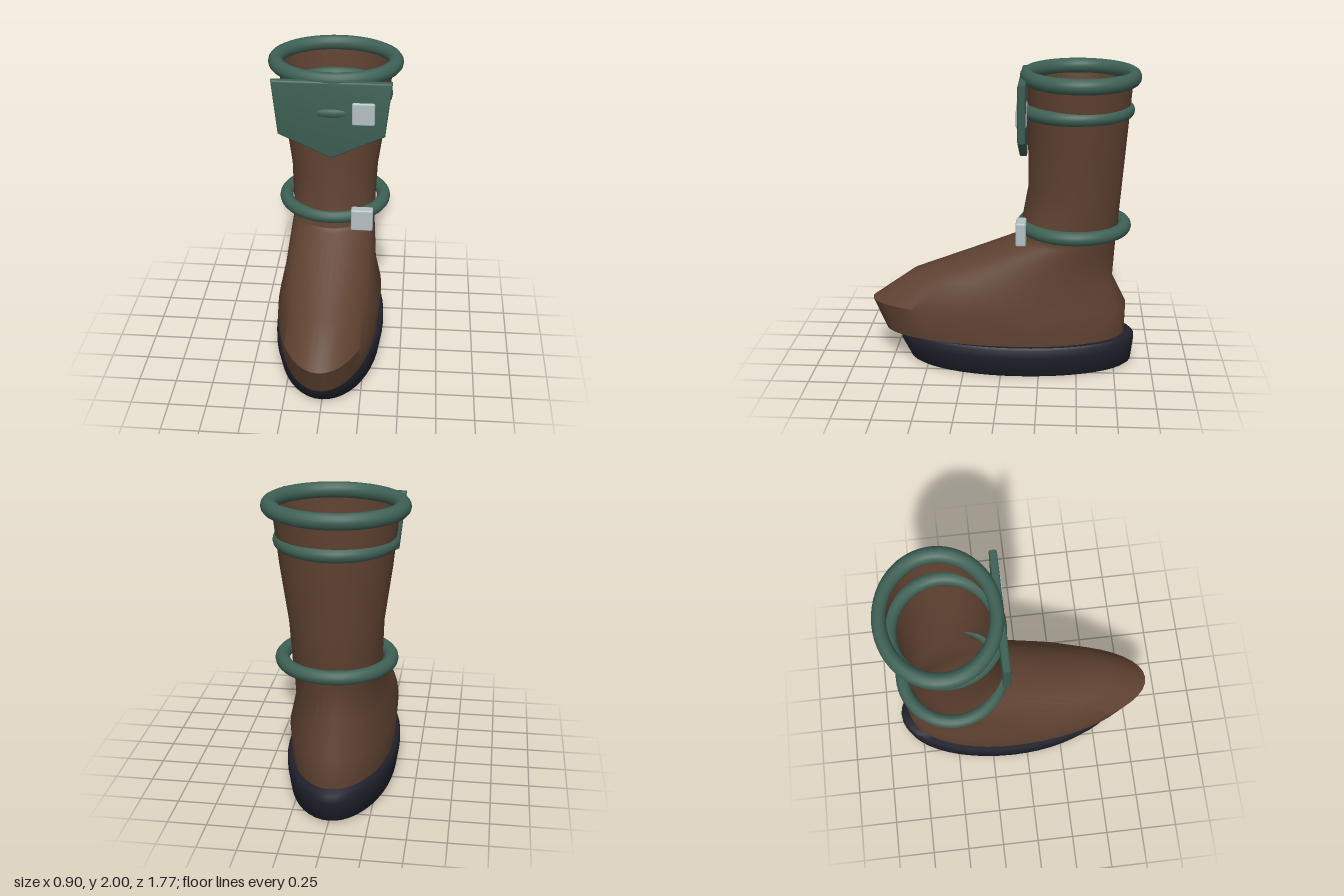
import * as THREE from 'three';
import { toCreasedNormals } from 'three/addons/utils/BufferGeometryUtils.js';
import { RoundedBoxGeometry } from 'three/addons/geometries/RoundedBoxGeometry.js';

const leather = new THREE.MeshStandardMaterial({ color: 0x5f4231, side: THREE.DoubleSide });
leather.name = 'brown leather';
const trim = new THREE.MeshStandardMaterial({ color: 0x3e6155 });
trim.name = 'green trim';
const rubber = new THREE.MeshStandardMaterial({ color: 0x20202c });
rubber.name = 'dark rubber';
const metal = new THREE.MeshStandardMaterial({ color: 0xb4c0c4 });
metal.name = 'pale metal';

// Skin egg-shaped rings [y, frontZ, backZ, halfWidth, widestZ], bottom to top.
function loft(rings, capped, crease) {
  const n = 48, pos = [], idx = [];
  for (const [y, front, back, w, c] of rings) {
    for (let j = 0; j < n; j++) {
      const a = (j / n) * Math.PI * 2, k = Math.cos(a);
      pos.push(w * Math.sin(a), y, c + k * (k > 0 ? front - c : c - back));
    }
  }
  for (let i = 0; i < rings.length - 1; i++) {
    for (let j = 0; j < n; j++) {
      const a = i * n + j, b = i * n + (j + 1) % n;
      idx.push(a, b, b + n, a, b + n, a + n);
    }
  }
  if (capped) {
    const top = (rings.length - 1) * n;
    for (let j = 1; j < n - 1; j++) {
      idx.push(0, j + 1, j, top, top + j, top + j + 1);
    }
  }
  const g = new THREE.BufferGeometry();
  g.setAttribute('position', new THREE.Float32BufferAttribute(pos, 3));
  g.setIndex(idx);
  return toCreasedNormals(g, crease);
}

// Oval ring lying flat
function ovalRing(rx, rz, tube) {
  const g = new THREE.TorusGeometry(rx, tube, 14, 56);
  g.rotateX(Math.PI / 2);
  g.scale(1, 1, rz / rx);
  return g;
}

export function createModel() {
  const group = new THREE.Group();
  const add = (name, geometry, material, x = 0, y = 0, z = 0) => {
    const mesh = new THREE.Mesh(geometry, material);
    mesh.name = name;
    mesh.position.set(x, y, z);
    group.add(mesh);
  };

  // Foot and open shaft
  add('bootUpper', loft([
    [0.21, 0.80, -0.82, 0.335, -0.1],
    [0.42, 0.89, -0.825, 0.35, -0.1],
    [0.61, 0.62, -0.73, 0.31, -0.1],
    [0.865, -0.075, -0.745, 0.28, -0.41],
    [0.89, -0.105, -0.75, 0.28, -0.428],
    [1.22, -0.165, -0.775, 0.295, -0.47],
    [1.58, -0.16, -0.802, 0.345, -0.481],
    [1.95, -0.155, -0.83, 0.385, -0.493],
  ], false, 0.6), leather);

  // Thick sole, tapering downwards
  add('sole', loft([
    [0, 0.61, -0.85, 0.335, -0.1],
    [0.015, 0.635, -0.87, 0.35, -0.1],
    [0.14, 0.70, -0.885, 0.37, -0.1],
    [0.195, 0.70, -0.885, 0.37, -0.1],
    [0.21, 0.685, -0.87, 0.36, -0.1],
  ], true, 0.9), rubber);

  // Rolled rim and straps
  add('topRim', ovalRing(0.4, 0.345, 0.05), trim, 0, 1.95, -0.493);
  add('upperStrap', ovalRing(0.34, 0.332, 0.045), trim, 0, 1.737, -0.468);
  add('ankleStrap', ovalRing(0.34, 0.332, 0.045), trim, 0, 0.965, -0.468);

  // Pointed flap across the front of the shaft
  const b = 0.012;
  const shape = new THREE.Shape([[-0.39, 1.95], [-0.35, 1.58], [0, 1.417], [0.35, 1.58], [0.39, 1.95]]
    .map(([x, y]) => new THREE.Vector2(x, y)));
  const flap = new THREE.ExtrudeGeometry(shape, {
    depth: 0.05 - 2 * b, bevelThickness: b, bevelSize: b, bevelOffset: -b, bevelSegments: 3,
  });
  add('frontFlap', toCreasedNormals(flap, 0.6), trim, 0, 0, -0.155 + b);

  // Buckles
  for (const [name, y] of [['flapBuckle', 1.738], ['ankleBuckle', 0.963]]) {
    add(name, new RoundedBoxGeometry(0.148, 0.155, 0.067, 3, 0.012), metal, 0.208, y, -0.126);
  }
  return group;
}
